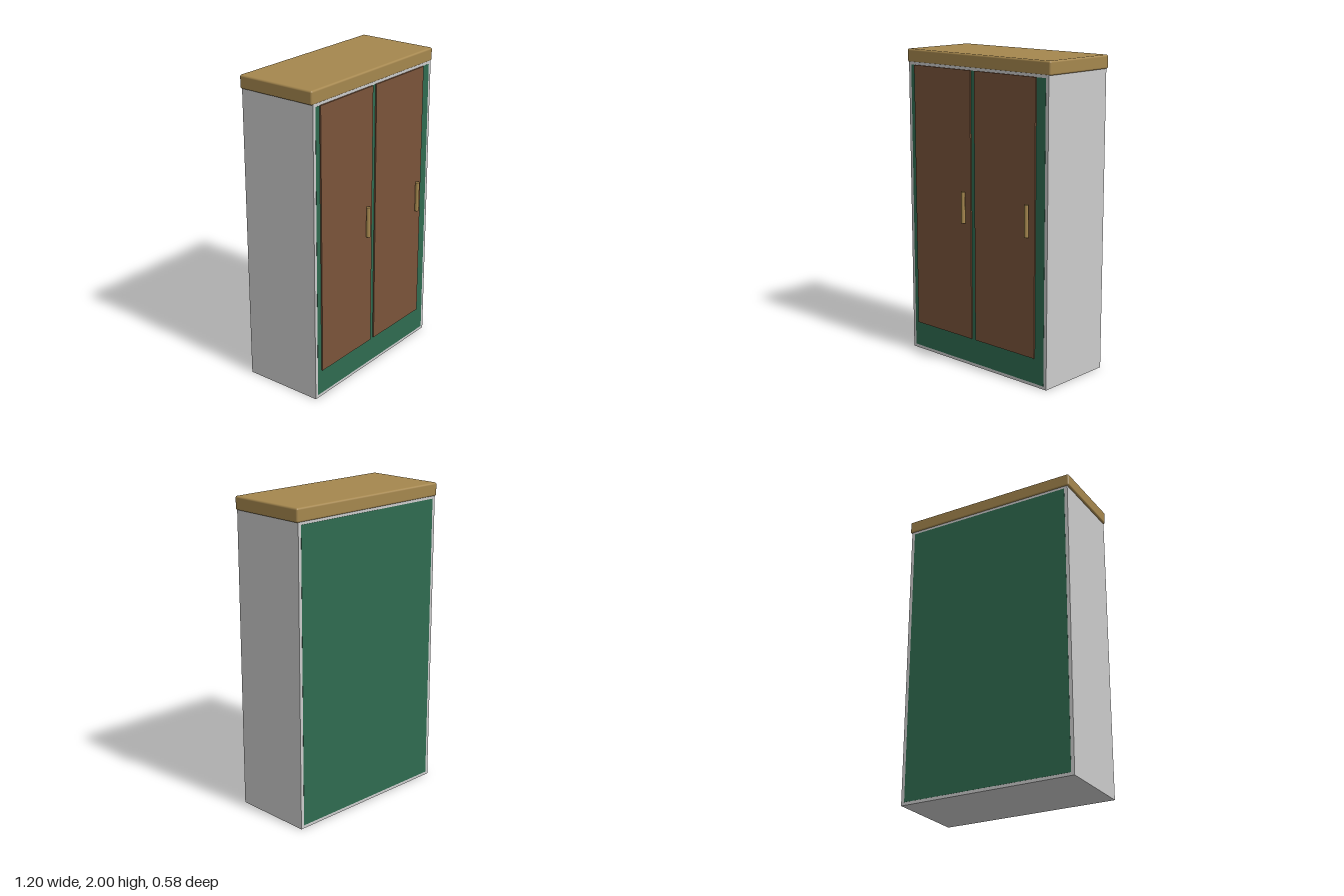
import * as THREE from 'three';
import { RoundedBoxGeometry } from 'three/addons/geometries/RoundedBoxGeometry.js';

const grey = new THREE.MeshStandardMaterial({ color: 0xcccccc });
const green = new THREE.MeshStandardMaterial({ color: 0x2f6b50 });
const brown = new THREE.MeshStandardMaterial({ color: 0x7a543a });
const gold = new THREE.MeshStandardMaterial({ color: 0xa5874e });

export function createModel() {
  const model = new THREE.Group();
  model.name = 'cabinet';

  const add = (name, geometry, material, x, y, z, parent = model) => {
    const mesh = new THREE.Mesh(geometry, material);
    mesh.name = name;
    mesh.position.set(x, y, z);
    parent.add(mesh);
    return mesh;
  };

  // Carcass, with a green core that shows as panels on the front and back
  add('carcass', new THREE.BoxGeometry(1.174, 1.92, 0.534), grey, 0, 0.96, -0.016);
  add('panelCore', new THREE.BoxGeometry(1.13, 1.88, 0.536), green, 0, 0.96, -0.016);

  // Overhanging top with softened edges
  add('top', new RoundedBoxGeometry(1.2, 0.085, 0.543, 3, 0.012), gold, 0, 1.9575, -0.0175);

  // Two doors, each with an upright round handle near its left edge
  const doorGeometry = new THREE.BoxGeometry(0.495, 1.717, 0.02);
  const handleGeometry = new THREE.CylinderGeometry(0.0135, 0.0135, 0.2, 24);
  for (const [name, x] of [['rightDoor', -0.282], ['leftDoor', 0.247]]) {
    const door = new THREE.Group();
    door.name = name;
    door.position.x = x;
    model.add(door);
    add('doorPanel', doorGeometry, brown, 0, 1.0425, 0.251, door);
    add('handle', handleGeometry, gold, 0.194, 1.041, 0.2745, door);
  }

  return model;
}
